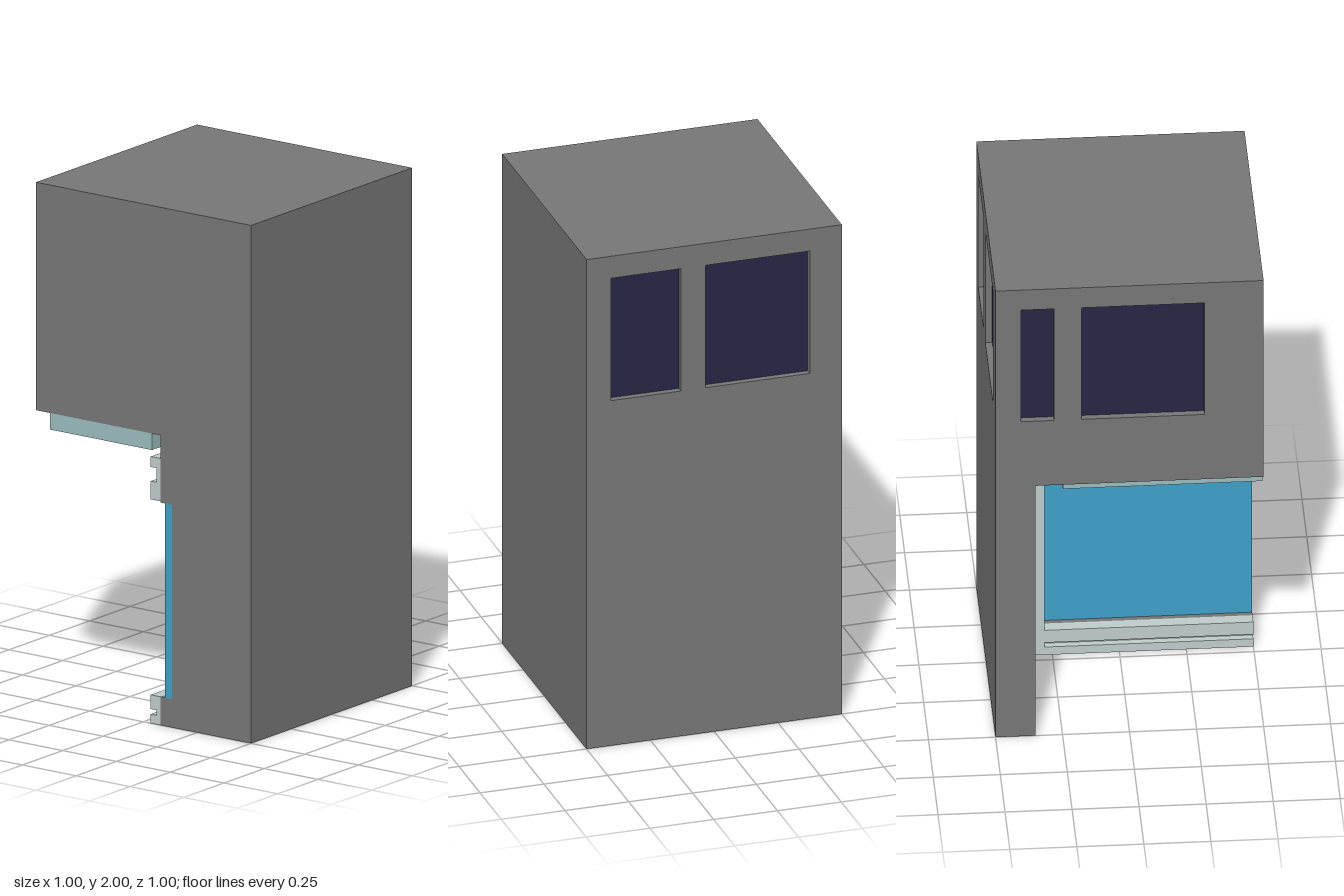
import * as THREE from 'three';

const material = (name, color) => {
  const m = new THREE.MeshStandardMaterial({ color });
  m.name = name;
  return m;
};

export function createModel() {
  const model = new THREE.Group();
  model.name = 'buildingBlock';
  const wall = material('wallGrey', 0x777777);
  const navy = material('windowNavy', 0x262645);
  const frame = material('frameGrey', 0xc0cccc);
  const glass = material('shopGlassBlue', 0x3fa0c8);
  const teal = material('canopyTeal', 0x9cbcbc);
  const orange = material('lampOrange', 0xd8906c);
  const dark = material('lampDark', 0x606060);

  // Box given by its min and max on each axis
  const box = (name, mat, x0, x1, y0, y1, z0, z1, parent = model) => {
    const mesh = new THREE.Mesh(new THREE.BoxGeometry(x1 - x0, y1 - y0, z1 - z0), mat);
    mesh.position.set((x0 + x1) / 2, (y0 + y1) / 2, (z0 + z1) / 2);
    mesh.name = name;
    parent.add(mesh);
    return mesh;
  };

  const CEIL = 1.12, INNER_X = 0.35, INNER_Z = 0.08, GLASS_BACK = 0.133, D = 0.03;
  const WIN_Y = [1.41, 1.91], GLASS_Y = [0.11, 0.86];

  // Solid masses: upper floors, side wall, wall behind the shop window
  box('upperBlock', wall, -0.5, 0.5 - D, CEIL, 2, -0.5 + D, 0.5);
  box('sideWall', wall, INNER_X, 0.5 - D, 0, CEIL, -0.5, 0.5);
  box('frontWall', wall, -0.5, INNER_X, 0, CEIL, GLASS_BACK, 0.5);
  box('wallBelowGlass', wall, -0.5, INNER_X, 0, GLASS_Y[0], INNER_Z, GLASS_BACK);
  box('wallAboveGlass', wall, -0.5, INNER_X, GLASS_Y[1], CEIL, INNER_Z, GLASS_BACK);

  // Facade plate with window openings; panes sit at the bottom of the recesses
  const facade = (name, u0, u1, y0, windows) => {
    const group = new THREE.Group();
    group.name = name;
    const shape = new THREE.Shape([[u0, y0], [u1, y0], [u1, 2], [u0, 2]].map(p => new THREE.Vector2(...p)));
    for (const [a, b] of windows) {
      shape.holes.push(new THREE.Path([[a, WIN_Y[0]], [a, WIN_Y[1]], [b, WIN_Y[1]], [b, WIN_Y[0]]]
        .map(p => new THREE.Vector2(...p))));
      box('windowPane', navy, a, b, WIN_Y[0], WIN_Y[1], 0, 0.004, group);
    }
    const plate = new THREE.Mesh(new THREE.ExtrudeGeometry(shape, { depth: D, bevelEnabled: false }), wall);
    plate.name = name + 'Plate';
    group.add(plate);
    model.add(group);
    return group;
  };
  const side = facade('sideFacade', -0.5, 0.5, 0, [[-0.405, -0.13], [-0.035, 0.375]]);
  side.rotation.y = Math.PI / 2;
  side.position.x = 0.5 - D;
  const back = facade('backFacade', -0.5 + D, 0.5, CEIL, [[-0.405, -0.282], [-0.18, 0.28]]);
  back.rotation.y = Math.PI;
  back.position.z = -0.5 + D;

  // Shop window: glass slab, post, and grooved rails above and below
  box('shopGlass', glass, -0.5, 0.28, GLASS_Y[0], GLASS_Y[1], 0.1, GLASS_BACK);
  box('windowPost', frame, 0.28, INNER_X, 0, 1.03, 0.034, GLASS_BACK);
  for (const [y0, y1] of [[0, 0.035], [0.055, GLASS_Y[0]], [0.865, 0.935], [0.99, 1.03]]) {
    box('windowRail', frame, -0.5, 0.28, y0, y1, 0.034, INNER_Z);
  }
  for (const [y0, y1] of [[0.035, 0.055], [0.935, 0.99]]) {
    box('railGroove', frame, -0.5, 0.28, y0, y1, 0.06, INNER_Z);
  }

  // Canopy slab under the overhang
  box('canopy', teal, -0.5, 0.244, 1.056, CEIL, -0.433, 0.04);

  // Round-ended strips on the underside of the canopy
  const strip = (name, mat, z, r) => {
    const a = 0.18 - r, b = -0.44 + r;
    const s = new THREE.Shape();
    s.absarc(a, 0, r, -Math.PI / 2, Math.PI / 2, false);
    s.absarc(b, 0, r, Math.PI / 2, Math.PI * 1.5, false);
    const mesh = new THREE.Mesh(new THREE.ExtrudeGeometry(s, { depth: 0.005, bevelEnabled: false, curveSegments: 8 }), mat);
    mesh.rotation.x = Math.PI / 2;
    mesh.position.set(0, 1.056, z);
    mesh.name = name;
    model.add(mesh);
  };
  strip('orangeStrip', orange, -0.34, 0.045);
  strip('darkStrip', dark, -0.215, 0.04);
  strip('darkStrip', dark, -0.095, 0.04);

  return model;
}
